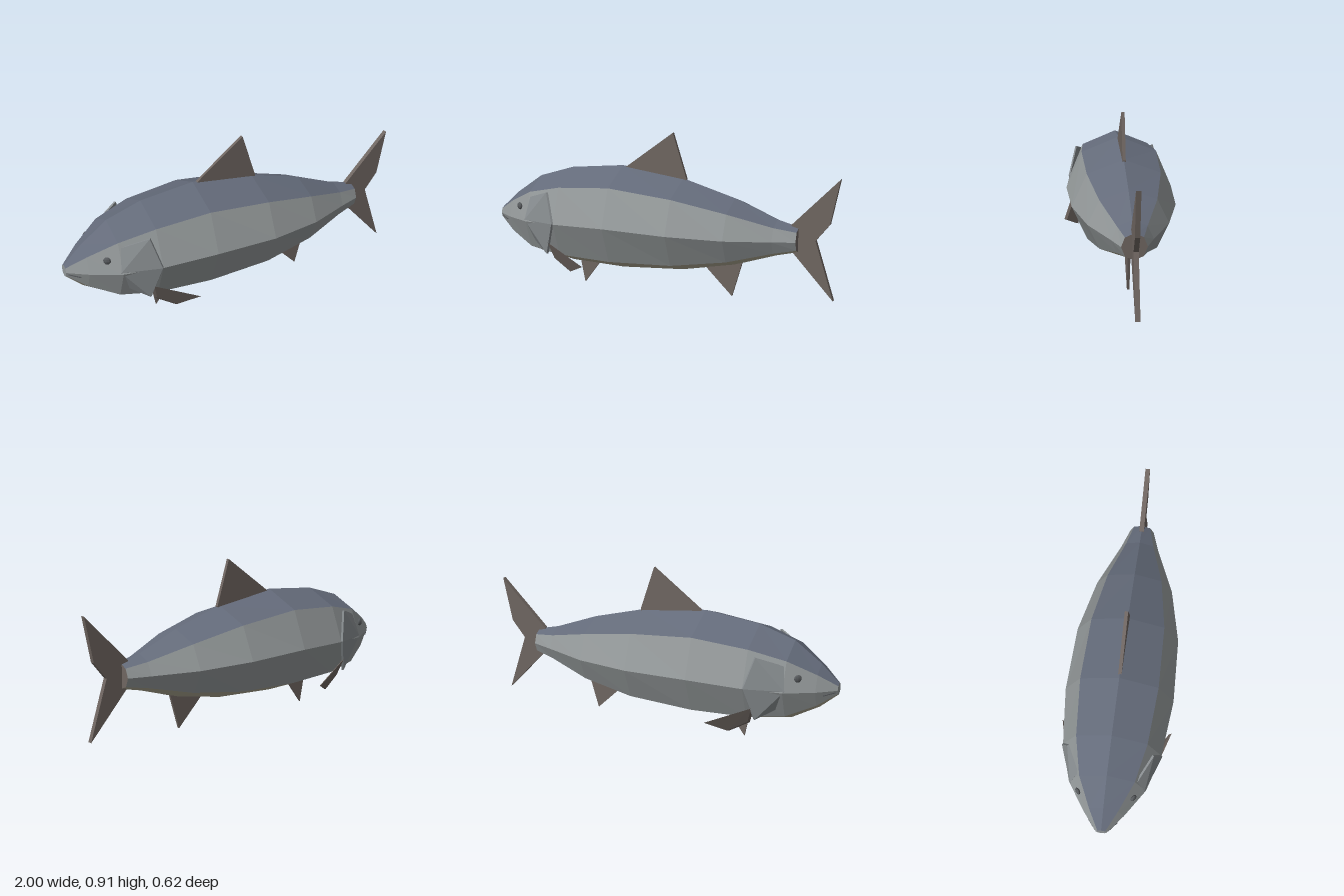
import * as THREE from 'three';

const paint = (name, color, side = THREE.FrontSide) => {
  const m = new THREE.MeshStandardMaterial({ color, side });
  m.name = name;
  return m;
};

// Body sections: x, top y, bottom y, half width
const SECTIONS = [
  [-1, 0.40, 0.335, 0.03], [-0.9, 0.495, 0.247, 0.11], [-0.75, 0.605, 0.16, 0.21],
  [-0.55, 0.67, 0.125, 0.27], [-0.24, 0.705, 0.115, 0.30], [0.12, 0.66, 0.14, 0.285],
  [0.42, 0.575, 0.20, 0.215], [0.66, 0.48, 0.28, 0.11], [0.78, 0.45, 0.31, 0.067],
];

// Corner k of the octagonal section i, counted from the top towards +z
function corner(i, k) {
  const [x, top, bottom, w] = SECTIONS[i];
  const a = (k * Math.PI) / 4;
  return [x, (top + bottom) / 2 + ((top - bottom) / 2) * Math.cos(a), w * Math.sin(a)];
}

// Flat-shaded geometry from a list of triangle corners
function facets(points) {
  const g = new THREE.BufferGeometry();
  g.setAttribute('position', new THREE.Float32BufferAttribute(points.flat(), 3));
  g.computeVertexNormals();
  return g;
}

// Lengthwise strips of the body, one per listed octagon side
function strips(columns) {
  const p = [];
  for (const k of columns) {
    for (let i = 0; i < SECTIONS.length - 1; i++) {
      const a = corner(i, k), b = corner(i + 1, k);
      const c = corner(i + 1, k + 1), d = corner(i, k + 1);
      p.push(a, d, c, a, c, b);
    }
  }
  return facets(p);
}

function endCap(i, facesForward) {
  const [x, top, bottom] = SECTIONS[i];
  const hub = [x, (top + bottom) / 2, 0];
  const p = [];
  for (let k = 0; k < 8; k++) {
    if (facesForward) p.push(hub, corner(i, k + 1), corner(i, k));
    else p.push(hub, corner(i, k), corner(i, k + 1));
  }
  return facets(p);
}

// Upright fin on the centre plane
function finGeometry(outline, thickness) {
  const shape = new THREE.Shape(outline.map(([x, y]) => new THREE.Vector2(x, y)));
  const g = new THREE.ExtrudeGeometry(shape, { depth: thickness, bevelEnabled: false });
  return g.translate(0, 0, -thickness / 2);
}

// Thin plate fanned from its first corner, thickened along an offset, mirrored by s
function plate(corners, offset, s) {
  const outer = corners.map(([x, y, z]) => [x, y, z * s]);
  const inner = corners.map(([x, y, z]) => [x + offset[0], y + offset[1], (z + offset[2]) * s]);
  const p = [];
  const tri = (a, b, c) => (s > 0 ? p.push(a, b, c) : p.push(a, c, b));
  const n = corners.length;
  for (let i = 0; i < n; i++) {
    const j = (i + 1) % n;
    if (i > 0 && j > 0) {
      tri(outer[0], outer[j], outer[i]);
      tri(inner[0], inner[i], inner[j]);
    }
    tri(outer[i], outer[j], inner[j]);
    tri(outer[i], inner[j], inner[i]);
  }
  return facets(p);
}

export function createModel() {
  const back = paint('slate blue back', 0x646b7a);
  const flank = paint('silver grey flank', 0x939899);
  const belly = paint('olive belly', 0xaea892);
  const fin = paint('brown grey fin', 0x6f6661);
  const gill = paint('gill grey', 0x888d90, THREE.DoubleSide);
  const dark = paint('dark grey eye', 0x575a5d);

  const fish = new THREE.Group();
  fish.name = 'fish';
  const add = (name, geometry, material) => {
    const mesh = new THREE.Mesh(geometry, material);
    mesh.name = name;
    fish.add(mesh);
    return mesh;
  };

  // Body
  add('back', strips([7, 0]), back);
  add('flanks', strips([1, 2, 5, 6]), flank);
  add('belly', strips([3, 4]), belly);
  add('snout', endCap(0, true), flank);
  add('tailBase', endCap(SECTIONS.length - 1, false), fin);

  // Centre fins
  add('dorsalFin', finGeometry([[-0.23, 0.69], [-0.2, 0.62], [0.13, 0.6], [0.14, 0.66], [0.06, 0.91]], 0.018), fin);
  add('tailFin', finGeometry([[0.74, 0.32], [0.98, 0.06], [0.875, 0.385], [0.95, 0.48], [1.0, 0.73], [0.74, 0.46]], 0.026), fin);
  add('analFin', finGeometry([[0.25, 0.18], [0.41, 0.02], [0.47, 0.23], [0.3, 0.24]], 0.014), fin);
  add('pelvicFin', finGeometry([[-0.51, 0.15], [-0.48, 0], [-0.37, 0.15]], 0.01), fin);

  // Paired parts
  const gillCorners = [
    [-0.76, 0.39, 0.203], [-0.74, 0.515, 0.163], [-0.605, 0.567, 0.232],
    [-0.555, 0.40, 0.276], [-0.61, 0.215, 0.232], [-0.73, 0.28, 0.163],
  ];
  const finCorners = [
    [-0.595, 0.285, 0.247], [-0.355, 0.187, 0.311], [-0.46, 0.13, 0.241], [-0.568, 0.19, 0.218],
  ];
  for (const s of [1, -1]) {
    const side = s > 0 ? 'left' : 'right';
    add(side + 'GillCover', plate(gillCorners, [0.008, 0, -0.008], s), gill);
    add(side + 'PectoralFin', plate(finCorners, [-0.008, -0.006, -0.016], s), fin);

    // Flattened eye lying along the cheek
    const eye = add(side + 'Eye', new THREE.SphereGeometry(0.021, 8, 6).toNonIndexed(), dark);
    eye.geometry.computeVertexNormals();
    eye.position.set(-0.815, 0.453, 0.15 * s);
    eye.scale.z = 0.55;
    eye.rotation.y = -0.6 * s;

    const mouth = add(side + 'Mouth', new THREE.BoxGeometry(0.07, 0.005, 0.006), dark);
    mouth.position.set(-0.962, 0.352, 0.056 * s);
    mouth.rotation.set(0, -0.67 * s, -0.15);
  }
  return fish;
}
